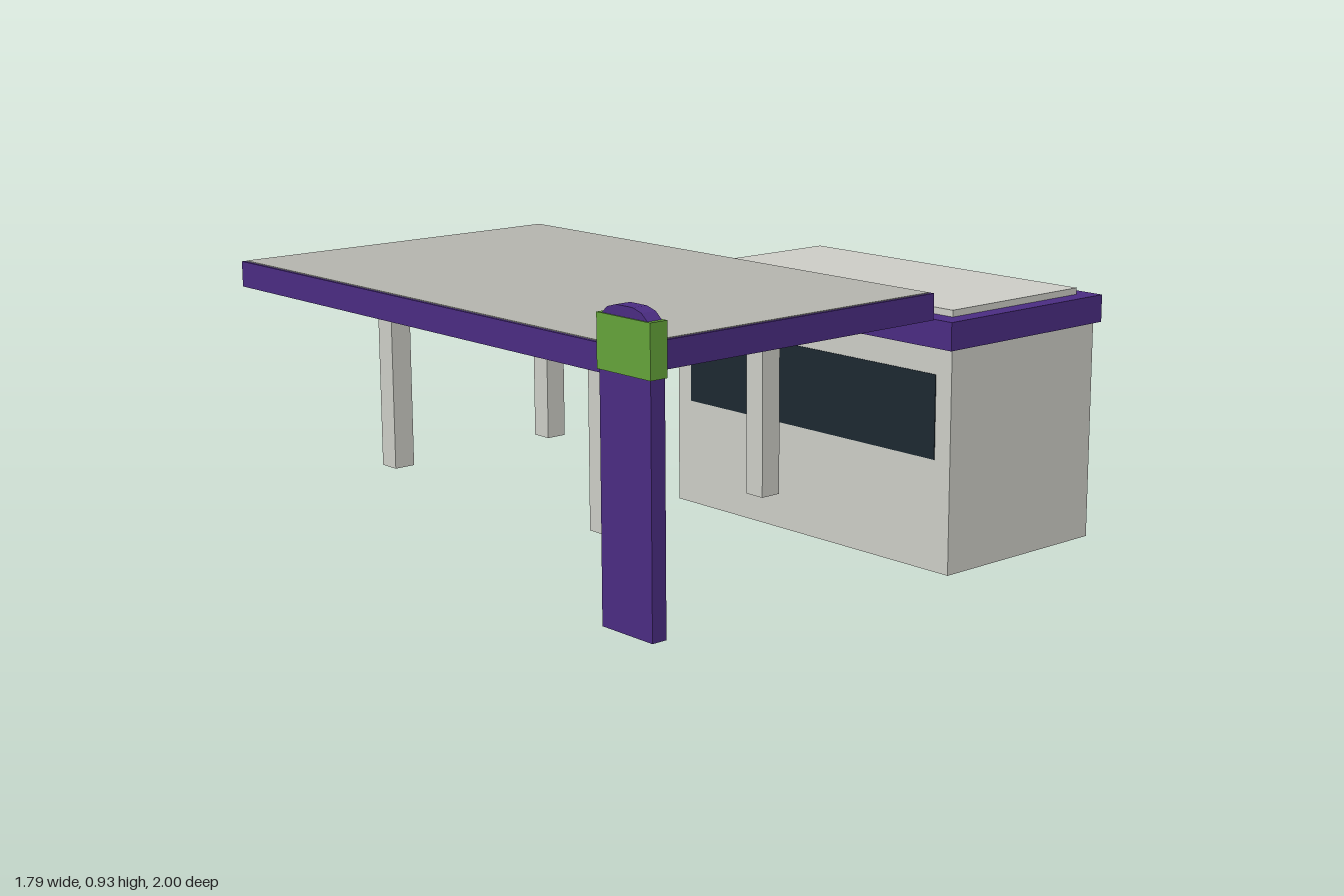
import * as THREE from 'three';

const material = (color, side = THREE.FrontSide) => new THREE.MeshStandardMaterial({ color, side });
const wallGrey = material(0xcccdc6);
const canopyGrey = material(0xb4b4ae);
const postGrey = material(0xcccdc6, THREE.DoubleSide);
const purple = material(0x4a2c82);
const green = material(0x64a33a);
const glass = material(0x1c2830);

// Box given by its lower and upper corners
function box(name, mat, [x0, y0, z0], [x1, y1, z1]) {
  const mesh = new THREE.Mesh(new THREE.BoxGeometry(x1 - x0, y1 - y0, z1 - z0), mat);
  mesh.position.set((x0 + x1) / 2, (y0 + y1) / 2, (z0 + z1) / 2);
  mesh.name = name;
  return mesh;
}

function createShop() {
  const shop = new THREE.Group();
  shop.name = 'shop';
  shop.add(
    box('shopWalls', wallGrey, [-0.68, 0, -0.985], [0.326, 0.6, -0.449]),
    box('roofBand', purple, [-0.694, 0.572, -1], [0.34, 0.643, -0.43]),
    box('roofPanel', wallGrey, [-0.645, 0.64, -0.955], [0.293, 0.66, -0.485]),
    box('frontWindow', glass, [-0.627, 0.287, -0.46], [0.275, 0.502, -0.447]),
    box('sideWindow', glass, [-0.682, 0.34, -0.9], [-0.67, 0.475, -0.535])
  );
  return shop;
}

function createCanopy() {
  const canopy = new THREE.Group();
  canopy.name = 'canopy';
  canopy.add(
    box('canopyFascia', purple, [-0.896, 0.714, -0.143], [0.544, 0.776, 0.777]),
    box('canopyPanel', canopyGrey, [-0.888, 0.712, -0.135], [0.536, 0.778, 0.769])
  );
  // Four hollow square posts, open at the ends
  const postShape = new THREE.CylinderGeometry(0.054 / Math.SQRT2, 0.054 / Math.SQRT2, 0.41, 4, 1, true)
    .toNonIndexed();
  postShape.rotateY(Math.PI / 4);
  postShape.computeVertexNormals();
  for (const x of [-0.577, 0.223]) {
    for (const z of [0.084, 0.555]) {
      const post = new THREE.Mesh(postShape, postGrey);
      post.name = 'canopyPost';
      post.position.set(x, 0.491, z);
      canopy.add(post);
    }
  }
  return canopy;
}

function createSign() {
  const sign = new THREE.Group();
  sign.name = 'roadsideSign';
  // Flat slab with a faceted arched top
  const outline = [
    [-0.074, 0.287], [0.074, 0.287], [0.074, 0.885], [0.066, 0.904], [0.049, 0.918],
    [0.024, 0.925], [-0.024, 0.925], [-0.049, 0.918], [-0.066, 0.904], [-0.074, 0.885],
  ].map(([x, y]) => new THREE.Vector2(x, y));
  const slab = new THREE.Mesh(
    new THREE.ExtrudeGeometry(new THREE.Shape(outline), { depth: 0.035, bevelEnabled: false }),
    purple
  );
  slab.name = 'signSlab';
  slab.position.set(0.816, 0, 0.962);
  sign.add(slab, box('signBand', green, [0.738, 0.795, 0.958], [0.893, 0.904, 1]));
  return sign;
}

export function createModel() {
  const model = new THREE.Group();
  model.name = 'fuelStation';
  model.add(createShop(), createCanopy(), createSign());
  return model;
}
